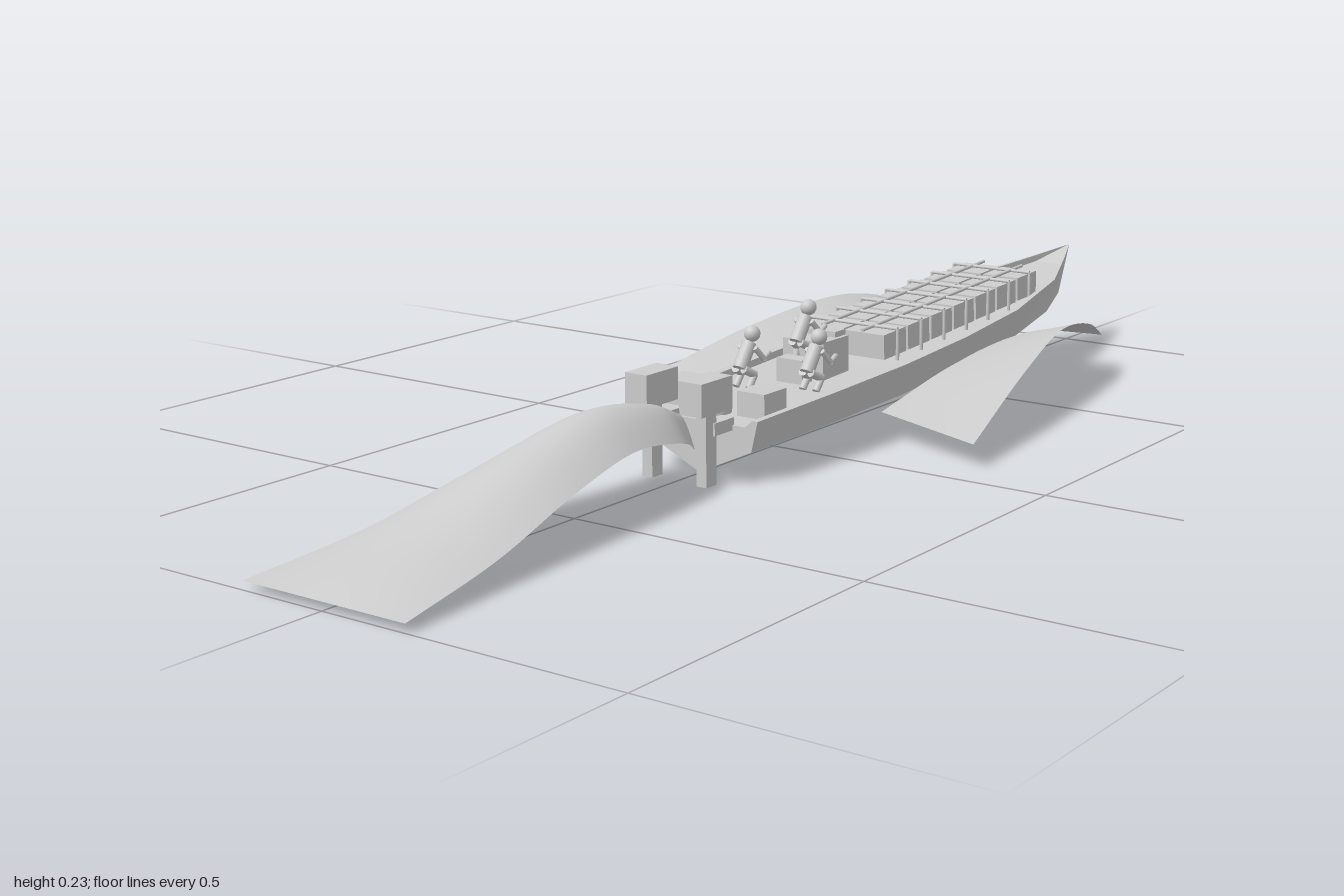
import * as THREE from 'three';

const grey = new THREE.MeshStandardMaterial({ color: 0xcccccc, side: THREE.DoubleSide });
grey.name = 'plain grey';

const add = (parent, name, geometry, x = 0, y = 0, z = 0) => {
  const mesh = new THREE.Mesh(geometry, grey);
  mesh.name = name;
  mesh.position.set(x, y, z);
  parent.add(mesh);
  return mesh;
};
const box = (parent, name, w, h, d, x, y, z) =>
  add(parent, name, new THREE.BoxGeometry(w, h, d), x, y, z);

// Round bar between two points
function limb(parent, name, a, b, r) {
  const p = new THREE.Vector3(...a), q = new THREE.Vector3(...b);
  const dir = q.clone().sub(p);
  const mesh = add(parent, name, new THREE.CylinderGeometry(r, r, dir.length(), 10));
  mesh.position.copy(p).add(q).multiplyScalar(0.5);
  mesh.quaternion.setFromUnitVectors(new THREE.Vector3(0, 1, 0), dir.normalize());
}

function surface(points, index) {
  const g = new THREE.BufferGeometry();
  g.setAttribute('position', new THREE.Float32BufferAttribute(points, 3));
  g.setIndex(index);
  return g;
}

// Stations: keel x, keel y, chine x, chine y, chine z, sheer x, sheer y, sheer z
const stations = [
  [-0.2, 0.004, -0.2, 0.05, 0.1, -0.2, 0.1, 0.112],
  [0, 0.008, 0, 0.055, 0.11, 0, 0.108, 0.121],
  [0.2, 0.013, 0.2, 0.062, 0.115, 0.2, 0.116, 0.126],
  [0.4, 0.02, 0.4, 0.072, 0.112, 0.4, 0.127, 0.124],
  [0.6, 0.032, 0.6, 0.085, 0.1, 0.6, 0.14, 0.112],
  [0.8, 0.05, 0.79, 0.1, 0.068, 0.8, 0.16, 0.078],
  [0.92, 0.075, 0.91, 0.112, 0.028, 0.92, 0.177, 0.033],
  [0.965, 0.12, 0.965, 0.122, 0.001, 1, 0.19, 0.001],
];

// Hard-chined hull with a raised gunwale around the deck
function hullGeometry() {
  const pts = [], idx = [], n = 9;
  stations.forEach(([kx, ky, cx, cy, cz, sx, sy, sz], i) => {
    const inner = sz * 0.9, drop = sz > 0.01 ? 0.012 : 0;
    const half = [[cx, cy, cz], [sx, sy, sz], [sx, sy, inner], [sx, sy - drop, inner]];
    pts.push(kx, ky, 0);
    half.forEach(p => pts.push(...p));
    half.slice().reverse().forEach(([x, y, z]) => pts.push(x, y, -z));
    if (i === 0) return;
    const a = (i - 1) * n, b = i * n;
    for (let j = 0; j < n; j++) {
      const k = (j + 1) % n;
      idx.push(a + j, b + j, b + k, a + j, b + k, a + k);
    }
  });
  for (let j = 1; j < n - 1; j++) idx.push(0, j, j + 1); // transom
  const g = surface(pts, idx).toNonIndexed();
  g.computeVertexNormals();
  return g;
}

// Smooth sheet from a rule f(u, v) -> [x, y, z]
function sheet(f, nu = 40, nv = 12) {
  const pts = [], idx = [];
  for (let i = 0; i <= nu; i++) for (let j = 0; j <= nv; j++) {
    pts.push(...f(i / nu, j / nv));
    if (i < nu && j < nv) {
      const a = i * (nv + 1) + j, b = a + nv + 1;
      idx.push(a, b, b + 1, a, b + 1, a + 1);
    }
  }
  const g = surface(pts, idx);
  g.computeVertexNormals();
  return g;
}

const curve = pts => new THREE.CatmullRomCurve3(pts.map(p => new THREE.Vector3(...p)));

// Sheet spanning two edge curves
function ruled(edgeA, edgeB, bulge = () => 0) {
  const A = curve(edgeA), B = curve(edgeB);
  return sheet((u, v) => {
    const p = A.getPoint(u).lerp(B.getPoint(u), v);
    return [p.x, p.y + bulge(u, v), p.z];
  });
}

const deckY = x => 0.104 + 0.05 * Math.max(0, x) ** 1.25;

// Crew member leaning forward, placed by the head
function crew(parent, x, y, z) {
  const g = new THREE.Group();
  g.name = 'crewMember';
  g.position.set(x, y, z);
  parent.add(g);
  add(g, 'head', new THREE.SphereGeometry(0.0135, 16, 12));
  limb(g, 'torso', [-0.008, -0.014, 0], [-0.035, -0.052, 0], 0.012);
  for (const s of [-1, 1]) {
    limb(g, 'upperArm', [-0.012, -0.02, s * 0.014], [0.004, -0.04, s * 0.02], 0.005);
    limb(g, 'forearm', [0.004, -0.04, s * 0.02], [0.026, -0.034, s * 0.015], 0.0045);
    limb(g, 'thigh', [-0.035, -0.052, s * 0.008], [-0.012, -0.064, s * 0.013], 0.007);
    limb(g, 'shin', [-0.012, -0.064, s * 0.013], [-0.028, 0.098 - y, s * 0.013], 0.006);
  }
}

export function createModel() {
  const model = new THREE.Group();
  model.name = 'speedboat';
  add(model, 'hull', hullGeometry());

  // Twin outboard motors
  for (const z of [-0.052, 0.052]) {
    const motor = new THREE.Group();
    motor.name = 'outboardMotor';
    motor.position.z = z;
    model.add(motor);
    box(motor, 'cowl', 0.078, 0.052, 0.042, -0.25, 0.144, 0);
    box(motor, 'leg', 0.026, 0.118, 0.019, -0.25, 0.061, 0);
    box(motor, 'bracket', 0.05, 0.02, 0.025, -0.22, 0.09, 0);
  }

  // Stern lockers and drum
  for (const z of [-0.08, 0.07]) box(model, 'sternLocker', 0.06, 0.04, 0.052, -0.13, 0.112, z);
  add(model, 'drum', new THREE.CylinderGeometry(0.028, 0.028, 0.05, 20), -0.16, 0.117, 0);

  // Helm console and seat
  box(model, 'console', 0.075, 0.065, 0.08, 0.122, 0.13, 0);
  box(model, 'dashboard', 0.03, 0.012, 0.066, 0.145, 0.166, 0);
  box(model, 'helmSeat', 0.03, 0.04, 0.05, 0.06, 0.118, 0);

  // Crew
  crew(model, 0.005, 0.182, -0.045);
  crew(model, 0.05, 0.181, 0.055);
  crew(model, 0.1, 0.215, 0);

  // Cargo bales in two rows with lashing bars over them
  for (let i = 0; i < 7; i++) {
    const x = 0.237 + i * 0.077, y = deckY(x), w = 0.079 - i * 0.0012;
    for (const s of [-1, 1]) {
      const bale = box(model, 'cargoBale', 0.068, 0.042, w, x, y + 0.028, s * (w / 2 + 0.003));
      bale.rotation.z = 0.05;
    }
    limb(model, 'crossBar', [x, y + 0.053, -w - 0.008], [x, y + 0.053, w + 0.008], 0.003);
    for (const s of [-1, 1])
      limb(model, 'barPost', [x, y, s * (w + 0.008)], [x, y + 0.053, s * (w + 0.008)], 0.003);
  }
  for (const z of [-0.04, 0.04])
    limb(model, 'longBar', [0.2, deckY(0.2) + 0.053, z], [0.74, deckY(0.74) + 0.053, z], 0.003);
  box(model, 'bowLocker', 0.07, 0.03, 0.07, 0.768, 0.152, 0);

  // Spray sheets thrown out from both sides of the bow
  for (const s of [-1, 1]) {
    const lift = s < 0 ? 0.008 : 0;
    const inner = [[0.79, 0.066, 0.09], [0.7, 0.085, 0.105], [0.55, 0.093, 0.11], [0.35, 0.08, 0.115], [0.14, 0.047 + lift, 0.118]];
    const outer = [[0.79, 0.07, 0.185], [0.7, 0.108, 0.206], [0.55, 0.129 + lift, 0.232], [0.33, 0.103 + lift, 0.281], [0.07, 0.04 + lift, 0.333]];
    const flip = e => e.map(([x, y, z]) => [x, y, s * z]);
    add(model, 'sideSpray', s > 0 ? ruled(flip(outer), flip(inner)) : ruled(flip(inner), flip(outer)));
  }

  // Arched wake behind the motors, crowned along its centre
  const wakeEdge = s => [[-0.25, 0.055, s * 0.03], [-0.32, 0.085, s * 0.065], [-0.45, 0.105, s * 0.08],
    [-0.6, 0.085, s * 0.097], [-0.8, 0.04, s * 0.122], [-1, 0.015, s * 0.147]];
  add(model, 'sternWake', ruled(wakeEdge(-1), wakeEdge(1),
    (u, v) => 0.052 * Math.sin(Math.PI * v) * (1 - u ** 3)));

  return model;
}
